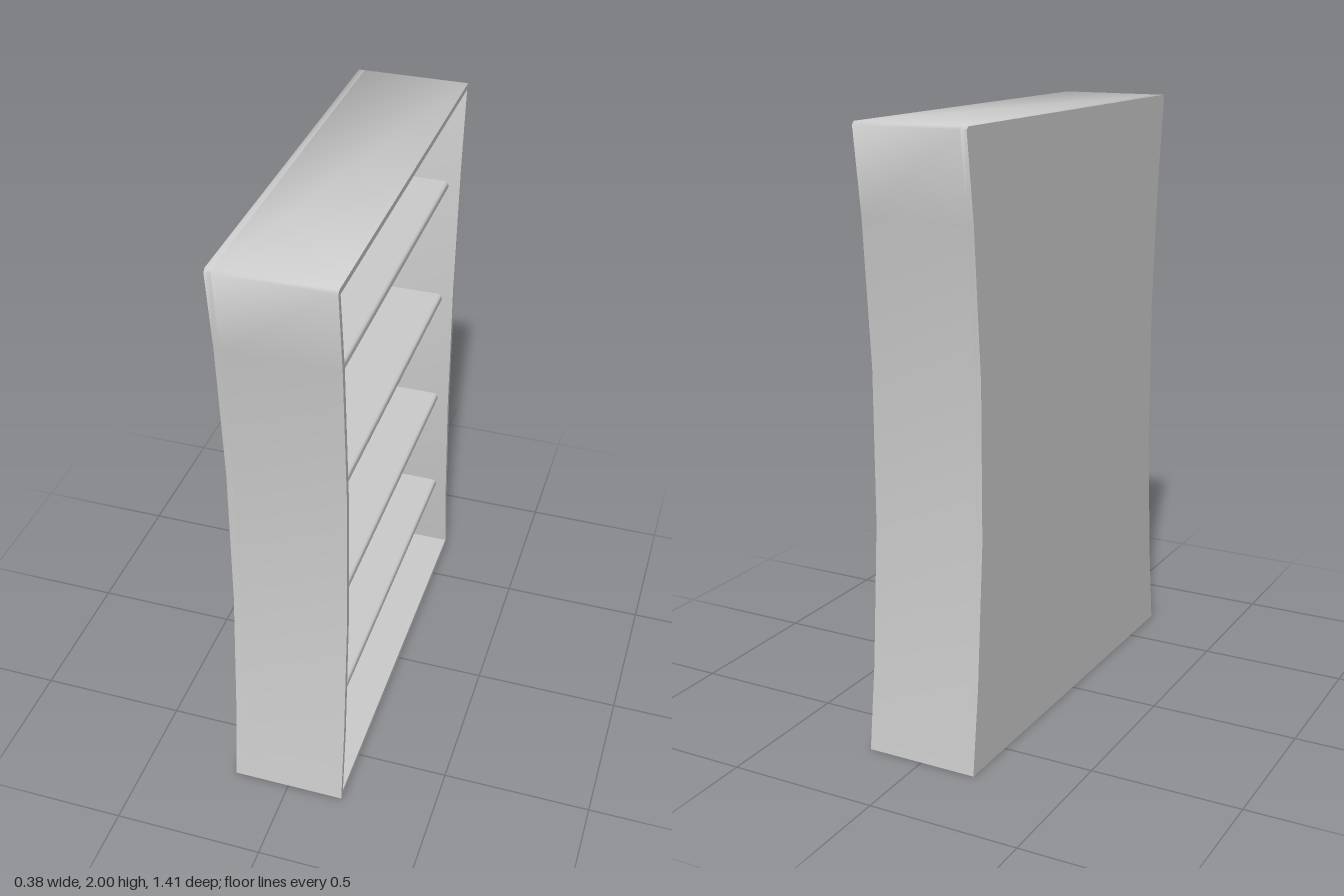
import * as THREE from 'three';
import { toCreasedNormals } from 'three/addons/utils/BufferGeometryUtils.js';

const material = new THREE.MeshStandardMaterial({ color: 0xcccccc });
const DEPTH = 0.38, BACK = 0.02;

// Closed outline from the points of one side, mirrored to the other
const mirrored = (side) =>
  [...side, ...side.map(([z, y]) => [-z, y]).reverse()].map(([z, y]) => new THREE.Vector2(z, y));

// Waisted outside with small top chamfers, and the opening inside it
const OUTER = mirrored([[0.705, 0], [0.671, 0.28], [0.636, 0.75], [0.636, 1.25],
  [0.671, 1.72], [0.706, 1.99], [0.697, 2]]);
const INNER = mirrored([[0.686, 0.022], [0.652, 0.28], [0.617, 0.75], [0.617, 1.25],
  [0.652, 1.72], [0.687, 1.981]]);

function addMesh(group, name, geometry) {
  const mesh = new THREE.Mesh(toCreasedNormals(geometry, 0.9), material);
  mesh.name = name;
  group.add(mesh);
  return mesh;
}

// Extrude a side outline along x, starting at x0
function extrudeAlongX(shape, x0, depth) {
  return new THREE.ExtrudeGeometry(shape, { depth, bevelEnabled: false })
    .rotateY(Math.PI / 2).translate(x0, 0, 0);
}

// Board with a bullnose front edge, spanning z
function shelfGeometry(halfLength) {
  const r = 0.0175, front = 0.15, back = -DEPTH / 2 + BACK;
  const shape = new THREE.Shape();
  shape.moveTo(back, -r);
  shape.lineTo(front - r, -r);
  shape.absarc(front - r, 0, r, -Math.PI / 2, Math.PI / 2, false);
  shape.lineTo(back, r);
  return new THREE.ExtrudeGeometry(shape, { depth: 2 * halfLength, bevelEnabled: false, curveSegments: 8 })
    .translate(0, 0, -halfLength);
}

export function createModel() {
  const group = new THREE.Group();
  group.name = 'bookcase';

  // Surrounding frame, open towards +x
  const frame = new THREE.Shape(OUTER);
  frame.holes.push(new THREE.Path(INNER));
  addMesh(group, 'frame', extrudeAlongX(frame, -DEPTH / 2 + BACK, DEPTH - BACK));

  // Closed back
  addMesh(group, 'backPanel', extrudeAlongX(new THREE.Shape(OUTER), -DEPTH / 2, BACK));

  // Four evenly spaced shelves, the middle two shorter
  for (let i = 0; i < 4; i++) {
    const middle = i === 1 || i === 2;
    const shelf = addMesh(group, 'shelf' + (i + 1), shelfGeometry(middle ? 0.619 : 0.653));
    shelf.position.y = 0.336 + i * 0.4345;
  }
  return group;
}
